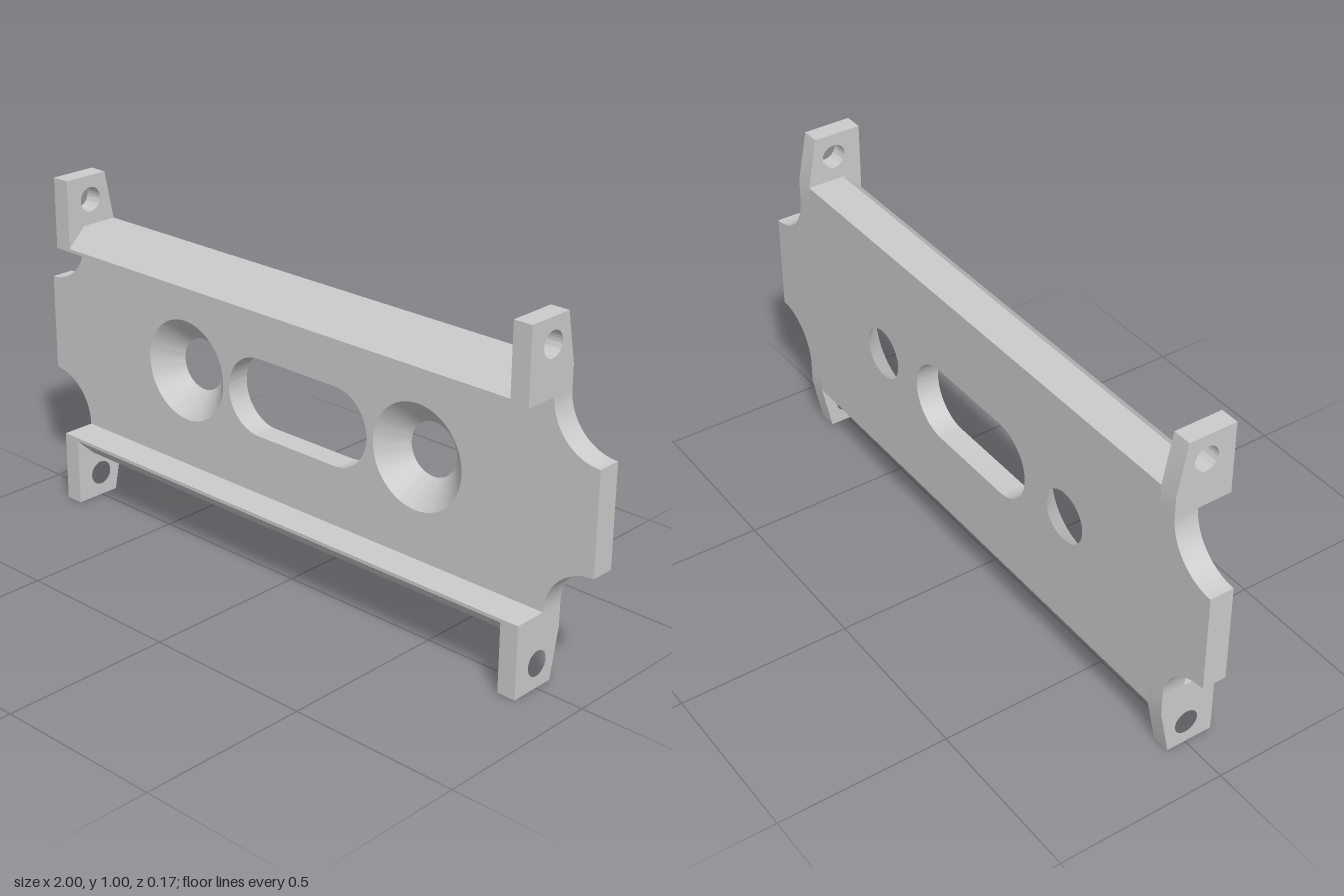
import * as THREE from 'three';
import { toCreasedNormals } from 'three/addons/utils/BufferGeometryUtils.js';

const BACK = -0.085, FRONT = -0.015, EDGE = 0.085; // plate back, plate front, lip front
const HALF_PI = Math.PI / 2;
const material = new THREE.MeshStandardMaterial({ color: 0xcccccc });

function mesh(name, geometry) {
  const m = new THREE.Mesh(toCreasedNormals(geometry, 0.5), material);
  m.name = name;
  return m;
}

// Plate outline with scooped corners, a slot and two round holes of radius r
function plateShape(r) {
  const s = new THREE.Shape();
  s.moveTo(1, 0.355);
  s.lineTo(1, 0.645);
  s.absarc(1, 0.79, 0.145, -HALF_PI, -Math.PI, true);
  s.absarc(-1, 0.79, 0.145, 0, -HALF_PI, true);
  s.absarc(-1, 0.21, 0.145, HALF_PI, 0, true);
  s.absarc(1, 0.21, 0.145, Math.PI, HALF_PI, true);
  const slot = new THREE.Path();
  slot.absarc(-0.142, 0.5, 0.115, -HALF_PI, -3 * HALF_PI, true);
  slot.absarc(0.142, 0.5, 0.115, HALF_PI, -HALF_PI, true);
  s.holes.push(slot);
  for (const x of [-0.43, 0.43]) {
    const hole = new THREE.Path();
    hole.absarc(x, 0.5, r, 0, -2 * Math.PI, true);
    s.holes.push(hole);
  }
  return s;
}

// Wall between matching loops on the back and front faces
function wall(back, front) {
  const pos = [];
  for (let i = 0; i < back.length; i++) {
    const j = (i + 1) % back.length;
    const b0 = [back[i].x, back[i].y, BACK], b1 = [back[j].x, back[j].y, BACK];
    const f0 = [front[i].x, front[i].y, FRONT], f1 = [front[j].x, front[j].y, FRONT];
    pos.push(...b0, ...b1, ...f1, ...b0, ...f1, ...f0);
  }
  const g = new THREE.BufferGeometry();
  g.setAttribute('position', new THREE.Float32BufferAttribute(pos, 3));
  return g;
}

// Profile in (z, y) extruded along x from x0 to x1
function sideExtrude(shape, x0, x1) {
  const g = new THREE.ExtrudeGeometry(shape, { depth: x1 - x0, bevelEnabled: false, curveSegments: 24 });
  return g.rotateY(-HALF_PI).translate(x1, 0, 0);
}

// Points given as (z, height above the middle), mirrored by side
const profile = (points, side) =>
  new THREE.Shape(points.map(([z, h]) => new THREE.Vector2(z, 0.5 + side * h)));

export function createModel() {
  const group = new THREE.Group();

  // Plate: the round holes widen from back to front as countersinks
  const plate = new THREE.Group();
  plate.name = 'plate';
  const backShape = plateShape(0.077), frontShape = plateShape(0.15);
  const frontFace = new THREE.ShapeGeometry(frontShape, 24).translate(0, 0, FRONT);
  const backFace = new THREE.ShapeGeometry(backShape, 24).translate(0, 0, BACK);
  backFace.index.array.reverse();
  plate.add(mesh('plateFront', frontFace), mesh('plateBack', backFace));
  const b = backShape.extractPoints(24), f = frontShape.extractPoints(24);
  plate.add(mesh('plateEdge', wall(b.shape, f.shape)));
  const names = ['slotWall', 'rightCountersink', 'leftCountersink'];
  names.forEach((name, i) => plate.add(mesh(name, wall(b.holes[i], f.holes[i]))));
  group.add(plate);

  for (const side of [1, -1]) {
    const level = side > 0 ? 'upper' : 'lower';

    // Chamfered lip along the plate's long edge
    const lip = profile([[BACK, 0.29], [EDGE, 0.29], [EDGE, 0.3], [0.027, 0.355], [BACK, 0.355]], side);
    group.add(mesh(level + 'Lip', sideExtrude(lip, -0.8, 0.8)));

    // Pierced ears at both ends of the lip
    for (const end of [1, -1]) {
      const ear = profile([[BACK, 0.29], [EDGE, 0.29], [EDGE, 0.5], [-0.056, 0.5], [BACK, 0.355]], side);
      const pin = new THREE.Path();
      pin.absarc(0, 0.5 + side * 0.429, 0.036, 0, 2 * Math.PI, true);
      ear.holes.push(pin);
      const x0 = end > 0 ? 0.8 : -0.855;
      group.add(mesh(level + (end > 0 ? 'Left' : 'Right') + 'Ear', sideExtrude(ear, x0, x0 + 0.055)));
    }
  }
  return group;
}
